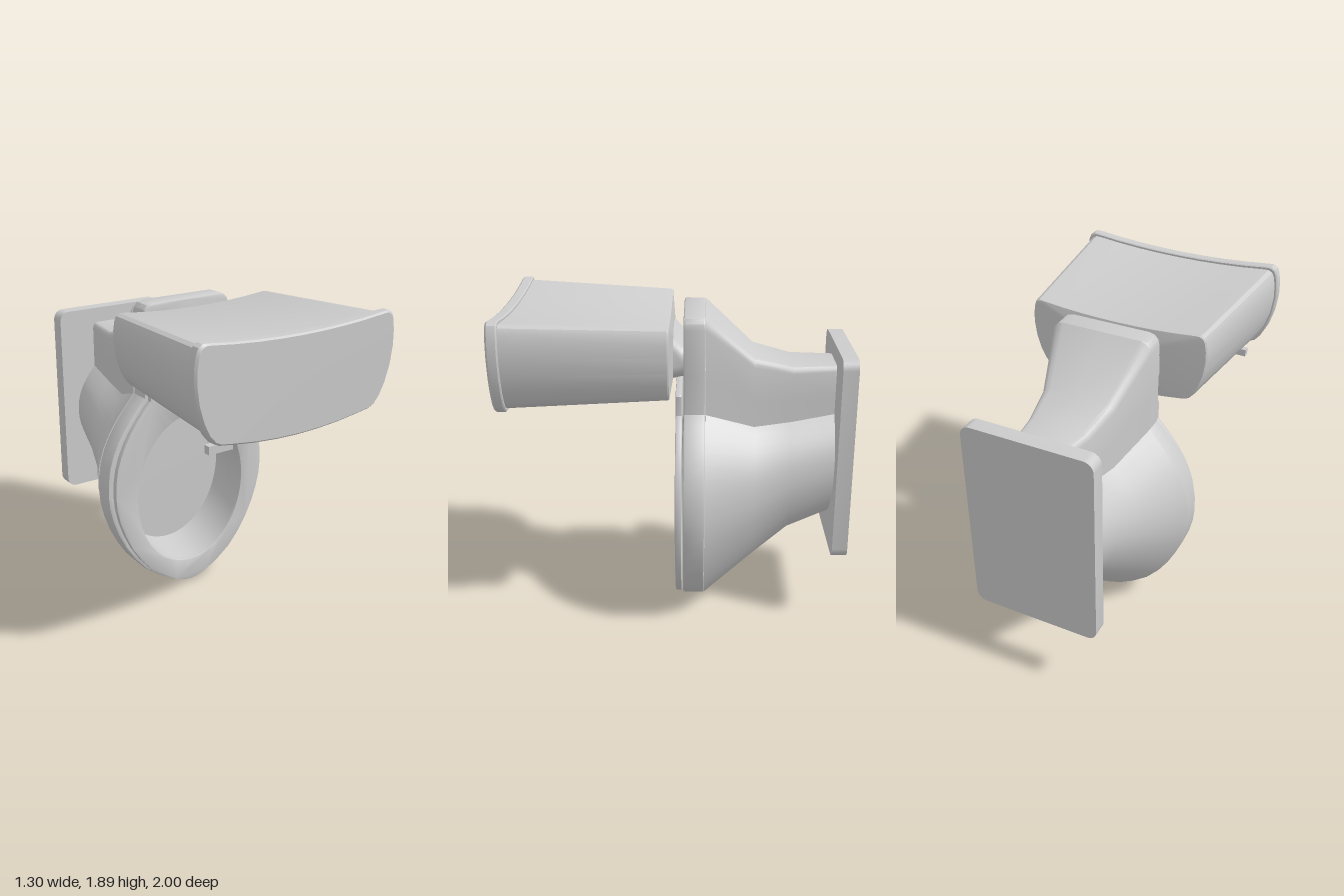
import * as THREE from 'three';
import { toCreasedNormals } from 'three/addons/utils/BufferGeometryUtils.js';

const mat = new THREE.MeshStandardMaterial({ color: 0xcccccc });
const v2 = (p) => new THREE.Vector2(p[0], p[1]);

function add(group, name, geometry, crease = 0.55) {
  const mesh = new THREE.Mesh(toCreasedNormals(geometry, crease), mat);
  mesh.name = name;
  group.add(mesh);
  return mesh;
}

// Closes a right-hand half outline (bottom centre to top centre) into a loop
const mirror = (half) => [...half, ...half.slice(1, -1).reverse().map(([x, y]) => [-x, y])];

// Skin through loops of equal length; each section is { z, pts }
function loft(sections, capStart = true, capEnd = true) {
  const n = sections[0].pts.length, pos = [], idx = [];
  sections.forEach(({ z, pts }) => pts.forEach(([x, y]) => pos.push(x, y, z)));
  for (let s = 0; s < sections.length - 1; s++) {
    for (let i = 0; i < n; i++) {
      const a = s * n + i, b = s * n + (i + 1) % n;
      idx.push(a, b, b + n, a, b + n, a + n);
    }
  }
  const cap = (s, flip) => {
    const { z, pts } = sections[s], c = pos.length / 3;
    const ys = pts.map((p) => p[1]);
    pos.push(0, (Math.min(...ys) + Math.max(...ys)) / 2, z);
    for (let i = 0; i < n; i++) {
      const a = s * n + i, b = s * n + (i + 1) % n;
      idx.push(c, flip ? b : a, flip ? a : b);
    }
  };
  if (capStart) cap(0, true);
  if (capEnd) cap(sections.length - 1, false);
  const g = new THREE.BufferGeometry();
  g.setAttribute('position', new THREE.Float32BufferAttribute(pos, 3));
  g.setIndex(idx);
  g.computeVertexNormals();
  return g;
}

// Bevelled slab between two z values, with an optional hole
function slab(pts, z0, z1, bevel, hole) {
  const shape = new THREE.Shape(pts.map(v2));
  if (hole) shape.holes.push(new THREE.Path(hole.map(v2)));
  const g = new THREE.ExtrudeGeometry(shape, {
    depth: z1 - z0 - 2 * bevel, bevelEnabled: bevel > 0, bevelThickness: bevel,
    bevelSize: bevel, bevelOffset: -bevel, bevelSegments: 2,
  });
  return g.translate(0, 0, z0 + bevel);
}

function ellipse(cy, rx, ry, n = 64) {
  return Array.from({ length: n }, (_, i) => {
    const a = (i / n) * Math.PI * 2;
    return [rx * Math.cos(a), cy + ry * Math.sin(a)];
  });
}

function roundedRect(hw, y0, y1, r) {
  const pts = [];
  [[hw - r, y0 + r, -1], [hw - r, y1 - r, 0], [r - hw, y1 - r, 1], [r - hw, y0 + r, 2]].forEach(([x, y, q]) => {
    for (let k = 0; k <= 6; k++) {
      const a = (q + k / 6) * Math.PI / 2;
      pts.push([x + r * Math.cos(a), y + r * Math.sin(a)]);
    }
  });
  return pts;
}

// Egg-shaped bowl outline that runs into a straight neck
const EGG = new THREE.SplineCurve([
  [0, 0], [0.12, 0.03], [0.31, 0.155], [0.45, 0.34], [0.535, 0.54], [0.563, 0.715],
  [0.545, 0.89], [0.485, 1.04], [0.4, 1.165], [0.3, 1.28],
].map(v2)).getPoints(18).map((p) => [p.x, p.y]);
const NECK = [[0.3, 1.5], [0.3, 1.77], [0.292, 1.805], [0.27, 1.83], [0.235, 1.84], [0, 1.84]];

// Outline fitted to a half width, bottom, neck crease and top
function bowlOutline(w, y0, yc, yt) {
  const k = w / 0.563;
  return mirror([
    ...EGG.map(([x, y]) => [x * k, y0 + (yc - y0) * y / 1.28]),
    ...NECK.map(([x, y]) => [x * k, yc + (yt - yc) * (y - 1.28) / 0.56]),
  ]);
}

// Curved tank outline, scaled about its middle
const TANK = mirror([
  [0, 1.315], [0.14, 1.319], [0.28, 1.33], [0.4, 1.346], [0.5, 1.361], [0.535, 1.378], [0.57, 1.42],
  [0.605, 1.49], [0.635, 1.59], [0.65, 1.7], [0.648, 1.78], [0.638, 1.845], [0.625, 1.875],
  [0.6, 1.89], [0.57, 1.889], [0.43, 1.874], [0.28, 1.863], [0.14, 1.857], [0, 1.855],
]);
const tankOutline = (w, y0, y1) =>
  TANK.map(([x, y]) => [x * w / 0.65, y0 + (y1 - y0) * (y - 1.315) / 0.575]);

export function createModel() {
  const model = new THREE.Group();
  model.name = 'toilet';

  // Foot plate
  add(model, 'basePlate', slab(roundedRect(0.385, 0.415, 1.625, 0.06), -1, -0.91, 0));

  // Pedestal, flaring from the foot to the bowl
  add(model, 'pedestal', loft([
    { z: -0.92, pts: bowlOutline(0.28, 0.57, 1.24, 1.53) },
    { z: -0.66, pts: bowlOutline(0.345, 0.455, 1.2, 1.53) },
    { z: -0.44, pts: bowlOutline(0.41, 0.26, 1.18, 1.585) },
    { z: -0.155, pts: bowlOutline(0.563, 0, 1.28, 1.84) },
  ], true, false));

  // Rim and hollow bowl
  const hole = ellipse(0.65, 0.385, 0.49);
  add(model, 'bowlRim', slab(bowlOutline(0.563, 0, 1.28, 1.84), -0.155, -0.03, 0.012, hole));
  add(model, 'bowlBasin', loft([
    { z: -0.005, pts: hole },
    { z: -0.13, pts: ellipse(0.665, 0.388, 0.485) },
    { z: -0.26, pts: ellipse(0.69, 0.385, 0.48) },
  ], false, true));

  // Seat ring
  add(model, 'seat', slab(bowlOutline(0.537, 0.012, 1.268, 1.4), -0.022, 0.015, 0.006, hole));

  // Short throat between bowl and tank
  add(model, 'tankNeck', loft([
    { z: -0.05, pts: roundedRect(0.265, 1.48, 1.66, 0.08) },
    { z: -0.02, pts: roundedRect(0.265, 1.48, 1.67, 0.08) },
    { z: 0.035, pts: roundedRect(0.275, 1.47, 1.73, 0.08) },
  ]));

  // Tapered tank with a shallow sloped bottom
  add(model, 'tank', loft([
    { z: 0.028, pts: tankOutline(0.27, 1.46, 1.73) },
    { z: 0.046, pts: tankOutline(0.54, 1.375, 1.83) },
    { z: 0.055, pts: tankOutline(0.547, 1.37, 1.835) },
    { z: 0.95, pts: tankOutline(0.635, 1.335, 1.872) },
  ]));

  // Tank lid
  add(model, 'tankLid', loft([
    { z: 0.935, pts: tankOutline(0.643, 1.321, 1.884) },
    { z: 0.942, pts: tankOutline(0.65, 1.315, 1.89) },
    { z: 0.988, pts: tankOutline(0.65, 1.315, 1.89) },
    { z: 1, pts: tankOutline(0.638, 1.325, 1.88) },
  ]));

  // Flush lever and its post
  const lever = new THREE.Group();
  lever.name = 'flushLever';
  add(lever, 'leverArm', new THREE.BoxGeometry(0.15, 0.045, 0.04)).position.set(-0.43, 1.308, 0.89);
  add(lever, 'leverPost', new THREE.CylinderGeometry(0.018, 0.018, 0.08, 16)).position.set(-0.375, 1.335, 0.89);
  model.add(lever);

  return model;
}
